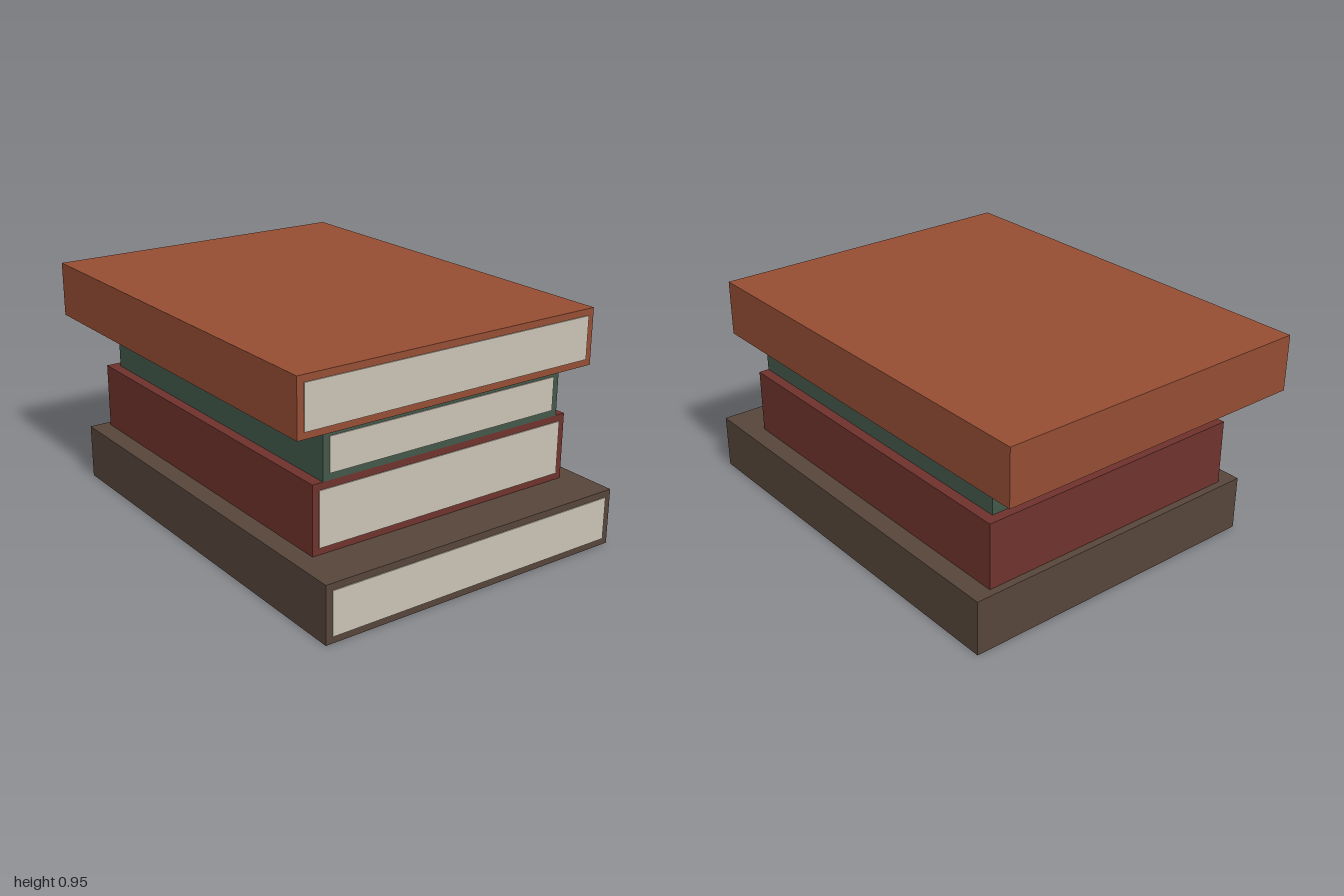
import * as THREE from 'three';

const PAGE_MARGIN = 0.028; // cover border visible around the pages
const PAGE_PLATE = 0.004;  // how far the page edges stand out of the cover

const paint = (name, color) => {
  const material = new THREE.MeshStandardMaterial({ color });
  material.name = name;
  return material;
};

export function createModel() {
  const pageMaterial = paint('paper', 0xc9c1b3);

  // Stacked from the bottom up: x range, y range, full depth
  const books = [
    { name: 'brownBook', color: 0x56453a, x: [-0.822, 0.996], y: [0, 0.237], depth: 1.39 },
    { name: 'redBook', color: 0x6e322c, x: [-0.79, 0.797], y: [0.237, 0.518], depth: 1.224 },
    { name: 'greenBook', color: 0x42584a, x: [-0.749, 0.797], y: [0.518, 0.715], depth: 1.134 },
    { name: 'orangeBook', color: 0x944d33, x: [-1, 0.834], y: [0.715, 0.951], depth: 1.4 },
  ];

  const stack = new THREE.Group();
  stack.name = 'bookStack';

  for (const { name, color, x, y, depth } of books) {
    const width = x[1] - x[0];
    const height = y[1] - y[0];
    const book = new THREE.Group();
    book.name = name;
    book.position.set((x[0] + x[1]) / 2, (y[0] + y[1]) / 2, 0);

    // Bound cover
    const cover = new THREE.Mesh(
      new THREE.BoxGeometry(width, height, depth),
      paint(name + 'Cover', color)
    );
    cover.name = 'cover';

    // Page edges on the open side
    const pages = new THREE.Mesh(
      new THREE.BoxGeometry(PAGE_PLATE, height - 2 * PAGE_MARGIN, depth - 2 * PAGE_MARGIN),
      pageMaterial
    );
    pages.name = 'pageEdges';
    pages.position.x = width / 2 + PAGE_PLATE / 2;

    book.add(cover, pages);
    stack.add(book);
  }
  return stack;
}
